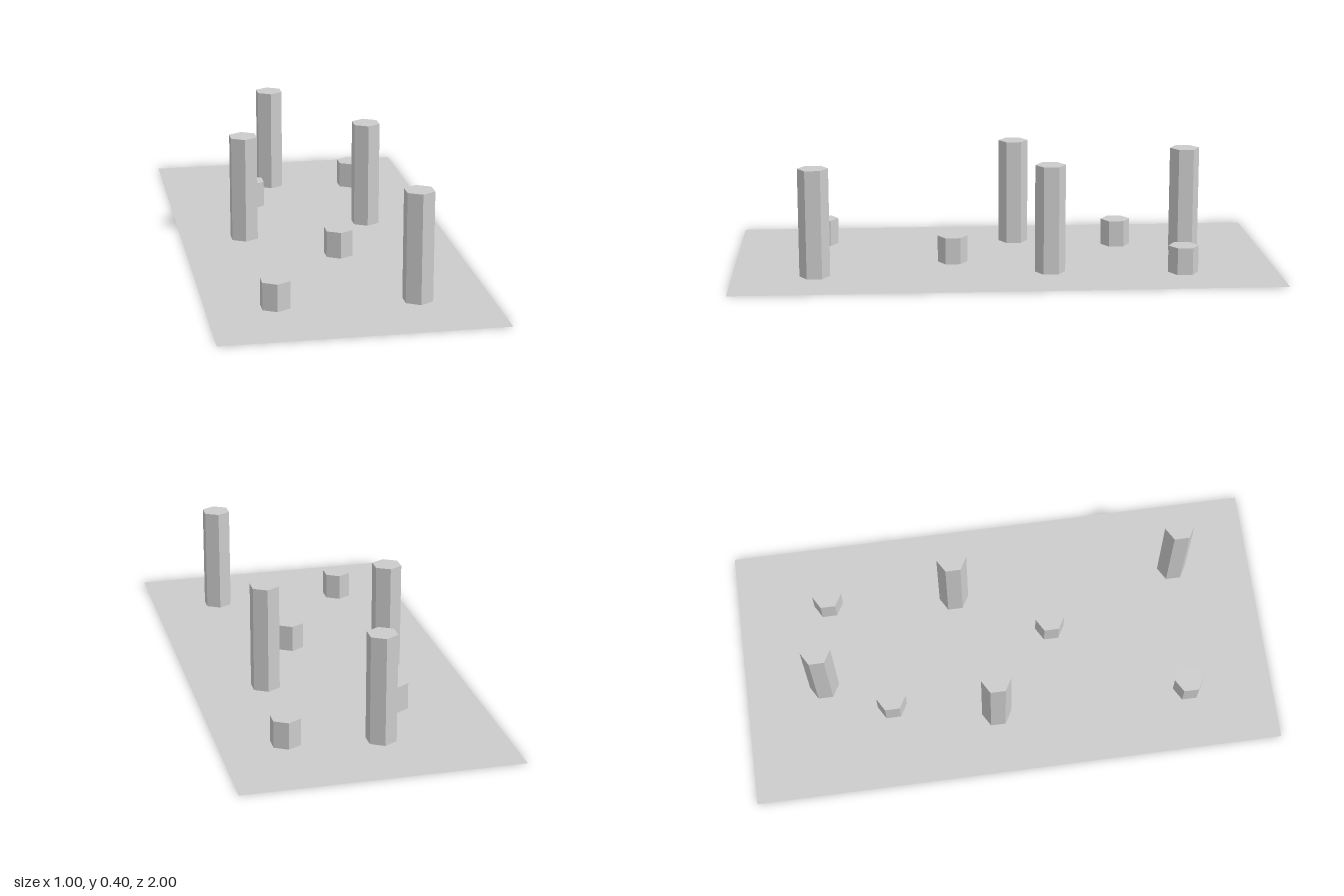
import * as THREE from 'three';

const RADIUS = 0.056;
const TALL = 0.4;
const SHORT = 0.1;

// Column positions: [x, z]
const tallSpots = [[-0.067, -0.702], [0.228, -0.164], [-0.262, -0.061], [0.241, 0.698]];
const shortSpots = [[0.263, -0.652], [-0.18, -0.453], [0.056, 0.188], [-0.257, 0.678]];

export function createModel() {
  const model = new THREE.Group();
  model.name = 'hexColumnField';
  const stone = new THREE.MeshStandardMaterial({ color: 0xcccccc, flatShading: true });

  // Flat ground sheet
  const sheet = new THREE.Mesh(
    new THREE.PlaneGeometry(1, 2).rotateX(-Math.PI / 2),
    new THREE.MeshStandardMaterial({ color: 0xcccccc, side: THREE.DoubleSide })
  );
  sheet.name = 'basePlate';
  model.add(sheet);

  // Hexagonal columns with corners pointing along z
  const addColumns = (name, spots, height) => {
    const geometry = new THREE.CylinderGeometry(RADIUS, RADIUS, height, 6).translate(0, height / 2, 0);
    spots.forEach(([x, z], i) => {
      const column = new THREE.Mesh(geometry, stone);
      column.name = `${name}${i + 1}`;
      column.position.set(x, 0, z);
      model.add(column);
    });
  };
  addColumns('tallColumn', tallSpots, TALL);
  addColumns('shortColumn', shortSpots, SHORT);

  return model;
}
